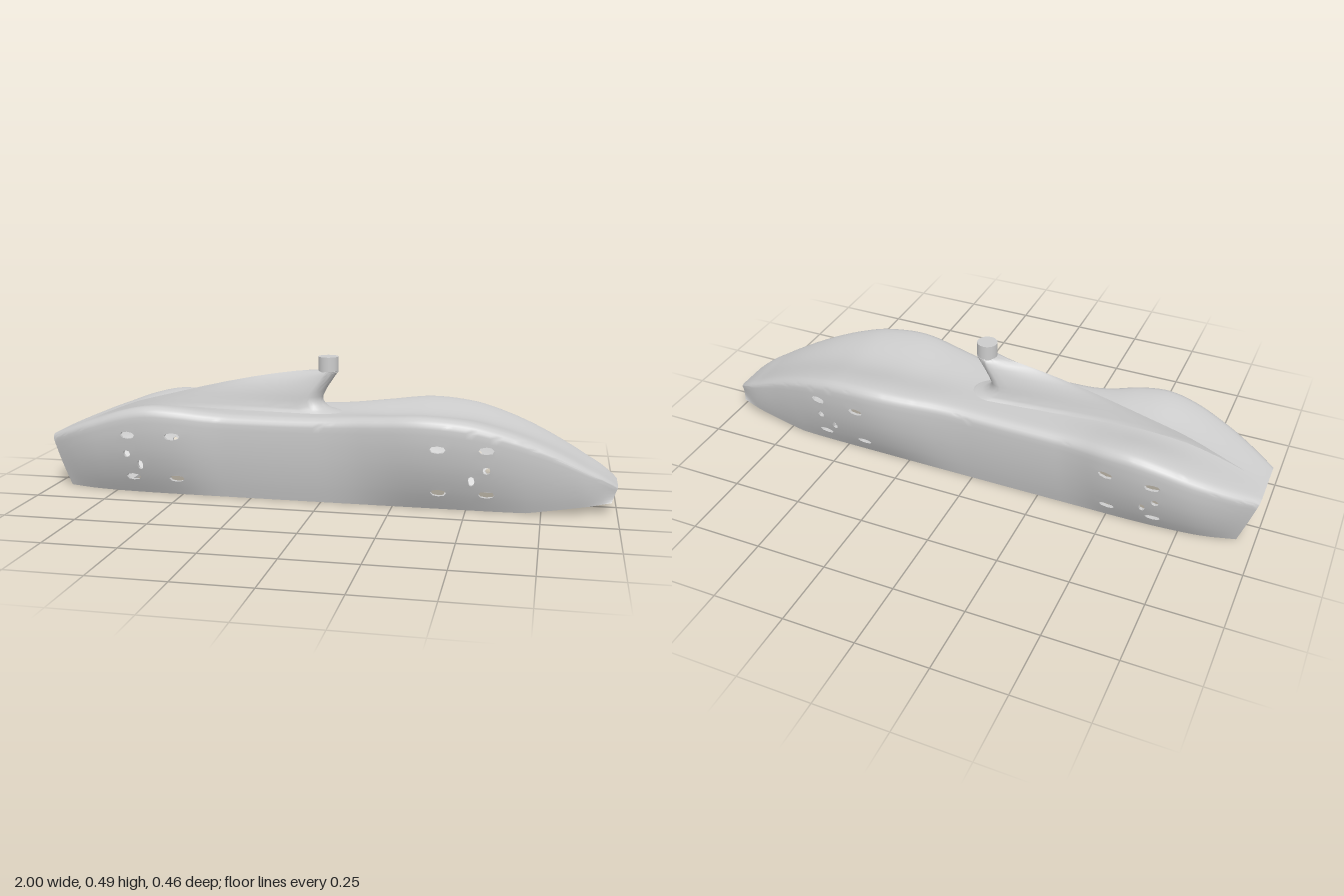
import * as THREE from 'three';
import { toCreasedNormals } from 'three/addons/utils/BufferGeometryUtils.js';

// Smooth interpolation through [x, value] pairs
function spline(pts) {
  const slope = (i) => {
    const a = pts[Math.max(i - 1, 0)], b = pts[Math.min(i + 1, pts.length - 1)];
    return (b[1] - a[1]) / (b[0] - a[0]);
  };
  return (x) => {
    let i = 0;
    while (i < pts.length - 2 && x > pts[i + 1][0]) i++;
    const [x0, y0] = pts[i], [x1, y1] = pts[i + 1], h = x1 - x0;
    const t = THREE.MathUtils.clamp((x - x0) / h, 0, 1), t2 = t * t, t3 = t2 * t;
    return y0 * (2 * t3 - 3 * t2 + 1) + slope(i) * h * (t3 - 2 * t2 + t)
      + y1 * (3 * t2 - 2 * t3) + slope(i + 1) * h * (t3 - t2);
  };
}

// Body profiles along x: crest height, centre-line height, half-widths
const crest = spline([[-1, 0.19], [-0.9, 0.23], [-0.8, 0.27], [-0.7, 0.305], [-0.6, 0.325], [-0.5, 0.32],
  [-0.4, 0.305], [-0.3, 0.298], [0, 0.3], [0.2, 0.315], [0.35, 0.327], [0.5, 0.315], [0.6, 0.29],
  [0.7, 0.255], [0.8, 0.21], [0.9, 0.155], [1, 0.09]]);
const dip = spline([[-1, 0], [-0.8, 0.012], [-0.6, 0.034], [-0.35, 0.008], [0, 0.006], [0.35, 0.03],
  [0.6, 0.018], [0.8, 0.006], [1, 0]]);
const width = spline([[-1, 0.11], [-0.9, 0.157], [-0.8, 0.195], [-0.7, 0.217], [-0.6, 0.225], [-0.5, 0.214],
  [-0.4, 0.187], [-0.33, 0.177], [0, 0.175], [0.1, 0.184], [0.2, 0.205], [0.3, 0.225], [0.38, 0.23],
  [0.5, 0.221], [0.6, 0.204], [0.7, 0.18], [0.8, 0.153], [0.9, 0.125], [0.97, 0.092], [1, 0.072]]);
const baseWidth = spline([[-1, 0.088], [-0.85, 0.115], [-0.65, 0.132], [-0.4, 0.135], [0.5, 0.135],
  [0.7, 0.13], [0.9, 0.108], [1, 0.09]]);
const bottom = (x) => Math.max(0, (x - 0.7) / 0.3) * 0.04;
const centre = (x) => crest(x) - dip(x);

const ROWS = [0, 0.025, 0.052, 0.065, 0.078, 0.097, 0.115, 0.133, 0.142, 0.155, 0.168, 0.19, 0.212, 0.225,
  0.238, 0.26, 0.28];
const NX = 100, ARC = 5, TOP = 8, NJ = 2 + ROWS.length - 1 + ARC + TOP;

// Holes in the side walls: x, y, half-length, half-height
const HOLES = [];
for (const x of [-0.67, -0.51, 0.41, 0.57]) for (const y of [0.065, 0.225]) HOLES.push([x, y, 0.027, 0.013]);
HOLES.push([-0.68, 0.155, 0.013, 0.013], [0.57, 0.155, 0.013, 0.013],
  [-0.635, 0.115, 0.011, 0.018], [0.52, 0.115, 0.011, 0.018]);
const holeCells = new Set(), holeVerts = new Map();
for (const [cx, cy, a, b] of HOLES) {
  const ci = Math.round((cx + 1) / 2 * NX), cj = ROWS.indexOf(cy) + 2;
  for (let u = -1; u <= 1; u++) for (let v = -1; v <= 1; v++) {
    const k = u && v ? 0.73 : 1;
    holeVerts.set(`${ci + u},${cj + v}`, [cx + u * a * k, cy + v * b * k]);
    if (u < 1 && v < 1) holeCells.add(`${ci + u},${cj + v}`);
  }
}

// Point on the half section; inset moves it onto the inner skin
function bodyPoint(i, j, inset) {
  let x = -1 + 2 * i / NX, y, z;
  const hole = holeVerts.get(`${i},${j}`);
  if (hole) x = hole[0];
  const y0 = bottom(x) + inset * 0.85, S = crest(x) - inset, C = centre(x) - inset;
  const W = width(x) - inset, B = baseWidth(x) - inset;
  const yW = y0 + (S - y0) * 0.9, r = Math.min(0.036, W * 0.25), Wc = W - r;
  const last = 2 + ROWS.length - 1;
  if (j < 2) {
    y = y0; z = j * Math.min(0.1, B * 0.8);
  } else if (j <= last) {
    y = hole ? hole[1] : y0 + (yW - y0) * ROWS[j - 2] / 0.28;
    z = B + (W - B) * (1 - (1 - (y - y0) / (yW - y0)) ** 2);
  } else if (j <= last + ARC) {
    const a = (j - last) / ARC * Math.PI / 2;
    y = yW + (S - yW) * Math.sin(a); z = Wc + r * Math.cos(a);
  } else {
    const k = 1 - (j - last - ARC) / TOP;
    z = Wc * k; y = C + (S - C) * (1 - Math.cos(Math.PI * k)) / 2;
  }
  // Raked end faces
  if (x < -0.8) x += 0.06 * (1 - y / 0.19) * (-0.8 - x) / 0.2;
  if (x > 0.9) x -= 0.02 * Math.min(1, 1 - (y - 0.04) / 0.05) * (x - 0.9) / 0.1;
  return [x, y, z];
}

// Hollow body: outer and inner skins joined by rims round every opening
function bodyGeometry() {
  const pos = [];
  const quad = (a, b, c, d, side) => {
    const order = side > 0 ? [a, b, c, a, c, d] : [a, c, b, a, d, c];
    for (const p of order) pos.push(p[0], p[1], p[2] * side);
  };
  const solid = (i, j) => {
    if (i < 0 || i >= NX) return false;
    if (j < 0 || j >= NJ) return true;
    const x = -1 + 2 * (i + 0.5) / NX;
    return !(j === 0 && x > -0.74 && x < 0.6) && !holeCells.has(`${i},${j}`);
  };
  const skin = [0, 0.012].map((inset) => Array.from({ length: NX + 1 },
    (_, i) => Array.from({ length: NJ + 1 }, (_, j) => bodyPoint(i, j, inset))));
  const [out, inn] = skin;
  for (const side of [1, -1]) for (let i = 0; i < NX; i++) for (let j = 0; j < NJ; j++) {
    if (!solid(i, j)) continue;
    const c = [[i, j], [i + 1, j], [i + 1, j + 1], [i, j + 1]];
    quad(...c.map(([m, n]) => out[m][n]), side);
    quad(...c.map(([m, n]) => inn[m][n]).reverse(), side);
    [[0, -1], [1, 0], [0, 1], [-1, 0]].forEach(([di, dj], e) => {
      if (solid(i + di, j + dj)) return;
      const [a, b] = [c[e], c[(e + 1) % 4]];
      quad(out[b[0]][b[1]], out[a[0]][a[1]], inn[a[0]][a[1]], inn[b[0]][b[1]], side);
    });
  }
  const g = new THREE.BufferGeometry();
  g.setAttribute('position', new THREE.Float32BufferAttribute(pos, 3));
  return toCreasedNormals(g, 0.6);
}

// Fin: stacked teardrop outlines, resting on the body's centre line
function finGeometry() {
  const nose = spline([[0.2, 0.07], [0.292, 0.055], [0.303, 0.015], [0.33, -0.018], [0.36, -0.015], [0.44, 0.036]]);
  const radius = spline([[0.2, 0.08], [0.292, 0.072], [0.303, 0.06], [0.33, 0.05], [0.36, 0.047], [0.44, 0.037]]);
  const tail = spline([[0.22, -0.92], [0.3, -0.72], [0.34, -0.57], [0.38, -0.41], [0.41, -0.27], [0.432, -0.14], [0.44, -0.07]]);
  const levels = [0.22, 0.25, 0.28, 0.292, 0.297, 0.303, 0.31, 0.32, 0.335, 0.35, 0.37, 0.39, 0.41, 0.425, 0.435, 0.44];
  const ARCN = 8, TAILN = 14, half = ARCN + TAILN, ring = 2 * half, pos = [], idx = [];
  for (const y of levels) {
    const r = radius(y), xc = nose(y) - r, xt = Math.min(tail(y), xc - 0.01);
    for (let k = 0; k < ring; k++) {
      const m = k <= half ? k : ring - k, s = k <= half ? 1 : -1;
      let x, z;
      if (m <= ARCN) {
        const a = m / ARCN * Math.PI / 2;
        x = xc + r * Math.cos(a); z = r * Math.sin(a);
      } else {
        const u = (m - ARCN) / TAILN;
        x = xc + (xt - xc) * u; z = r * (1 - u) ** 1.25;
      }
      pos.push(x, Math.max(y, centre(x) - 0.006), z * s);
    }
  }
  for (let l = 0; l < levels.length - 1; l++) for (let k = 0; k < ring; k++) {
    const a = l * ring + k, b = l * ring + (k + 1) % ring;
    idx.push(a, a + ring, b, b, a + ring, b + ring);
  }
  // Flat crown
  const t = (levels.length - 1) * ring;
  for (let k = 1; k < ring - 1; k++) idx.push(t, t + k + 1, t + k);
  const g = new THREE.BufferGeometry();
  g.setAttribute('position', new THREE.Float32BufferAttribute(pos, 3));
  g.setIndex(idx);
  return toCreasedNormals(g, 0.7);
}

export function createModel() {
  const model = new THREE.Group();
  const grey = new THREE.MeshStandardMaterial({ color: 0xcccccc });
  const thin = new THREE.MeshStandardMaterial({ color: 0xcccccc, side: THREE.DoubleSide });
  const add = (name, geometry, x = 0, y = 0, z = 0, material = grey) => {
    const mesh = new THREE.Mesh(geometry, material);
    mesh.name = name;
    mesh.position.set(x, y, z);
    model.add(mesh);
    return mesh;
  };

  add('bodyShell', bodyGeometry());
  add('fin', finGeometry(), 0, 0, 0, thin);
  add('mastSocket', new THREE.CylinderGeometry(0.035, 0.035, 0.055, 32), 0, 0.4625, 0);

  // Recessed plate in the nose slot, with two small pins
  const plate = new THREE.Shape([[-0.083, 0.044], [0.083, 0.044], [0.062, 0.095], [-0.062, 0.095]]
    .map((p) => new THREE.Vector2(...p)));
  const plateGeometry = new THREE.ExtrudeGeometry(plate, { depth: 0.005, bevelEnabled: false });
  add('nosePlate', plateGeometry.rotateY(Math.PI / 2), 0.965, 0, 0);
  for (const z of [-0.025, 0.025]) {
    const pin = new THREE.CylinderGeometry(0.0025, 0.0025, 0.004, 10).rotateZ(Math.PI / 2);
    add('nosePin', pin, 0.971, 0.068, z);
  }

  // Cross ribs over the floor opening
  for (const x of [0.42, -0.52, -0.69]) add('floorRib', new THREE.BoxGeometry(0.01, 0.012, 0.23), x, 0.016, 0);
  return model;
}
